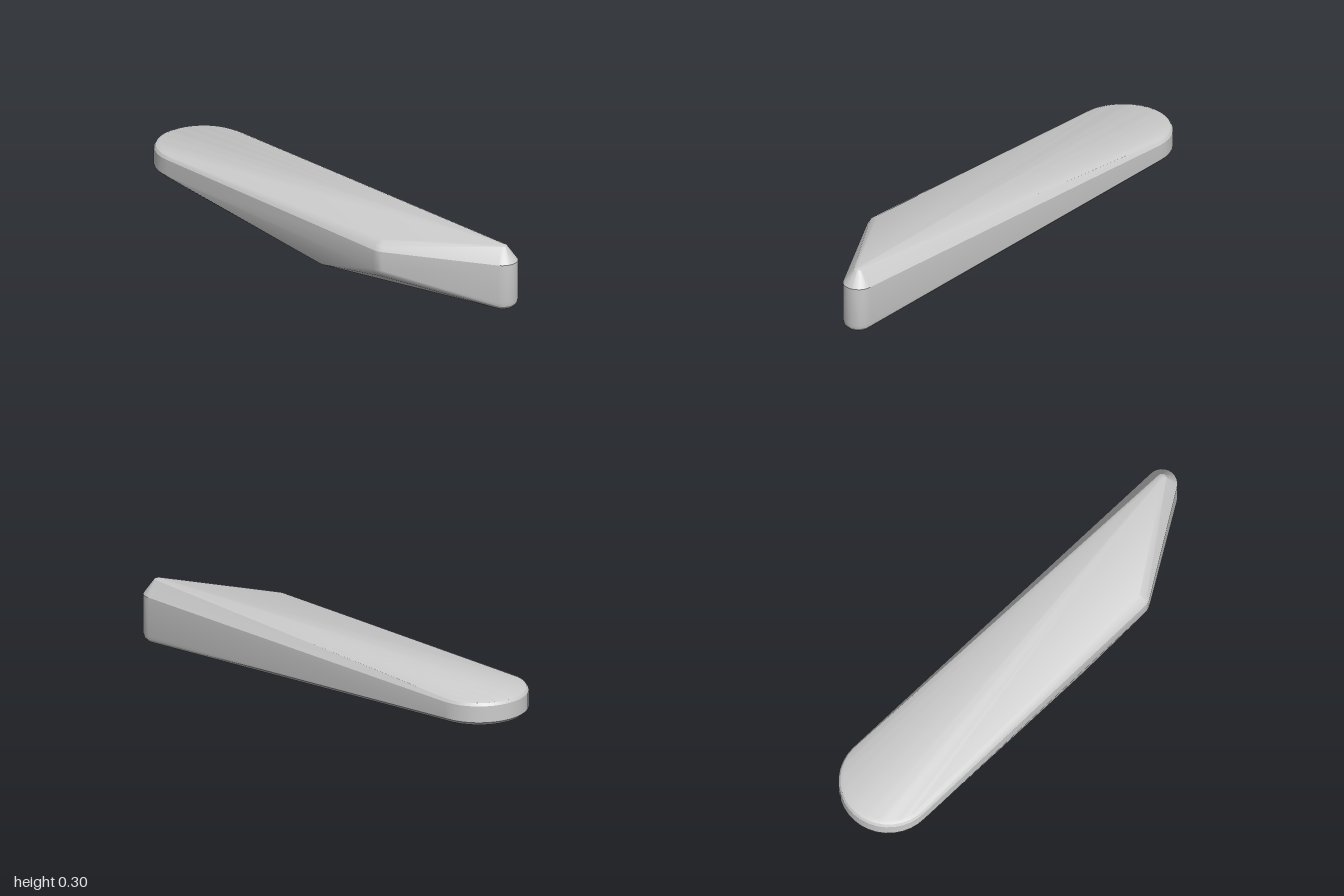
import * as THREE from 'three';
import { ConvexGeometry } from 'three/addons/geometries/ConvexGeometry.js';
import { toCreasedNormals } from 'three/addons/utils/BufferGeometryUtils.js';

// Rounded corners of the outline; each level is [inset, y]
const corners = [
  { // broad round back end
    x: 0.021, z: -0.793, r: 0.207, from: 180, to: 360, steps: 18,
    levels: [[0.015, 0.135], [0, 0.15], [0, 0.222], [0.008, 0.234], [0.025, 0.241]],
  },
  { // narrow front tip
    x: 0.09, z: 0.935, r: 0.065, from: -3, to: 150, steps: 10,
    levels: [[0.045, 0.019], [0.018, 0.028], [0.004, 0.043], [0, 0.06], [0, 0.23], [0.046, 0.295], [0.06, 0.301]],
  },
  { // blunt corner on the right side
    x: -0.149, z: 0.495, r: 0.08, from: 150, to: 181, steps: 4,
    levels: [[0.025, 0.11], [0.008, 0.125], [0, 0.145], [0, 0.23], [0.012, 0.25], [0.04, 0.267]],
  },
];

// Lowest ridge of the underside
const keel = [[-0.2, 0.05, 0.15], [-0.15, 0.028, 0.13], [-0.085, 0, 0.07], [-0.05, 0, 0.03]];

export function createModel() {
  const points = keel.map((p) => new THREE.Vector3(...p));
  for (const c of corners) {
    for (const [inset, y] of c.levels) {
      for (let i = 0; i <= c.steps; i++) {
        const a = THREE.MathUtils.degToRad(c.from + (c.to - c.from) * i / c.steps);
        const r = c.r - inset;
        points.push(new THREE.Vector3(c.x + r * Math.cos(a), y, c.z + r * Math.sin(a)));
      }
    }
  }

  // One convex skin over all rims and the keel
  const geometry = toCreasedNormals(new ConvexGeometry(points), 0.5);
  const body = new THREE.Mesh(geometry, new THREE.MeshStandardMaterial({ color: 0xcccccc }));
  body.name = 'body';

  const group = new THREE.Group();
  group.name = 'taperedBlade';
  group.add(body);
  return group;
}
